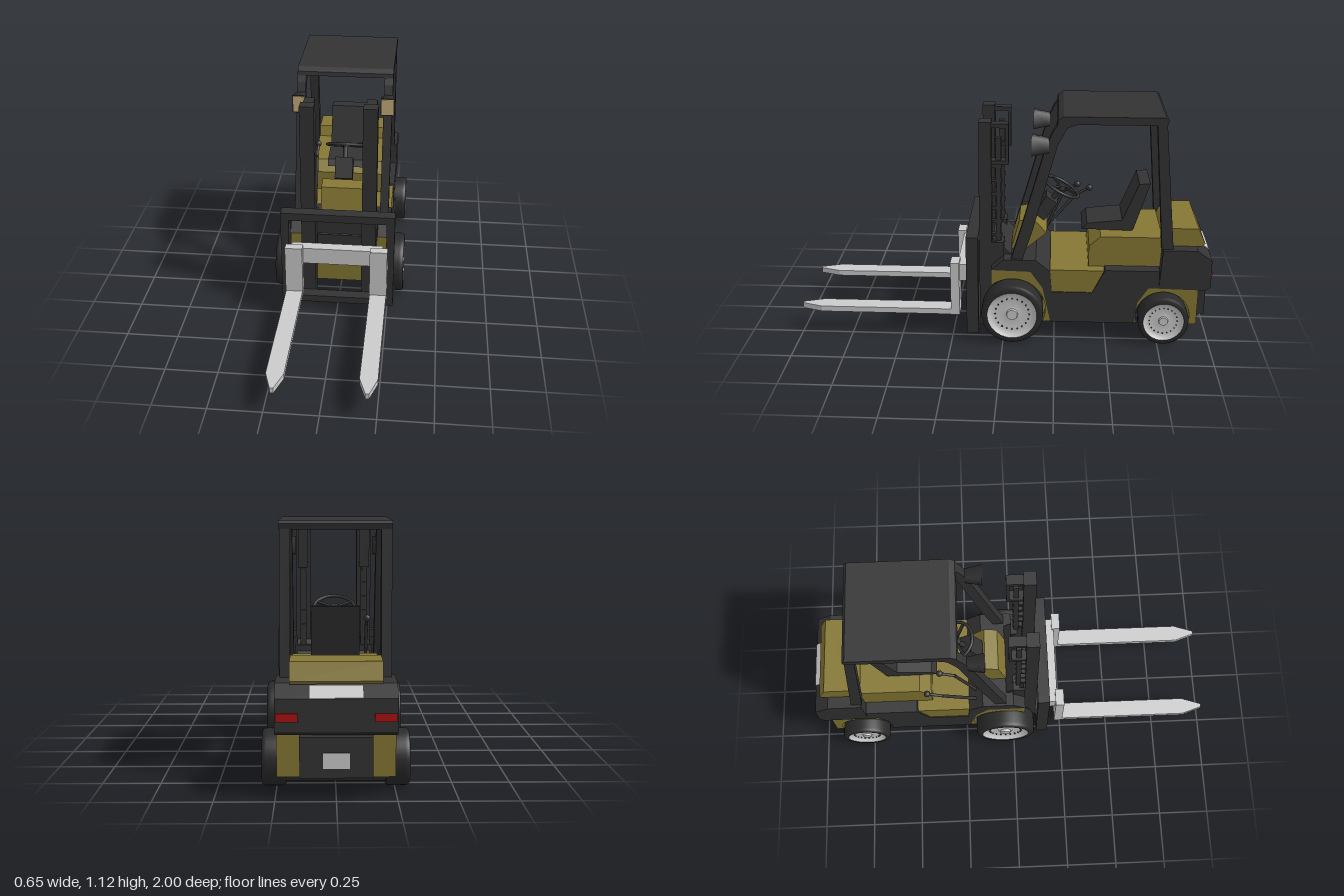
import * as THREE from 'three';

const mat = (color) => new THREE.MeshStandardMaterial({ color, side: THREE.DoubleSide });
const black = mat(0x333333), gold = mat(0x857733), grey = mat(0xcccccc);
const rubber = mat(0x2a2a2a), red = mat(0xaa1111), cream = mat(0xc8ae7c);

export function createModel() {
  const model = new THREE.Group();
  const add = (name, geometry, material, parent = model) => {
    const mesh = new THREE.Mesh(geometry, material);
    mesh.name = name;
    parent.add(mesh);
    return mesh;
  };
  // box from its limits on each axis
  const box = (name, m, x0, x1, y0, y1, z0, z1) =>
    add(name, new THREE.BoxGeometry(x1 - x0, y1 - y0, z1 - z0)
      .translate((x0 + x1) / 2, (y0 + y1) / 2, (z0 + z1) / 2), m);
  // the same box on the left and right, given for the left
  const boxPair = (name, m, x0, x1, ...yz) => {
    box(name + 'Left', m, x0, x1, ...yz);
    box(name + 'Right', m, -x1, -x0, ...yz);
  };
  // side profile of [z, y] points, extruded from x0 to x1; arch = [z, y, r, from, to]
  const side = (name, m, x0, x1, points, arch) => {
    const shape = new THREE.Shape(points.map(([z, y]) => new THREE.Vector2(z, y)));
    if (arch) shape.absarc(...arch, true);
    const g = new THREE.ExtrudeGeometry(shape, { depth: x1 - x0, bevelEnabled: false, curveSegments: 24 });
    return add(name, g.rotateY(-Math.PI / 2).translate(x1, 0, 0), m);
  };
  const sidePair = (name, m, x0, x1, points, arch) => {
    side(name + 'Left', m, x0, x1, points, arch);
    side(name + 'Right', m, -x1, -x0, points, arch);
  };
  // straight rod between two points
  const rod = (name, m, a, b, r) => {
    const p = new THREE.Vector3(...a), q = new THREE.Vector3(...b);
    const mesh = add(name, new THREE.CylinderGeometry(r, r, p.distanceTo(q), 12), m);
    mesh.position.copy(p).lerp(q, 0.5);
    mesh.quaternion.setFromUnitVectors(new THREE.Vector3(0, 1, 0), q.sub(p).normalize());
  };

  // chassis and step
  side('chassis', black, -0.25, 0.25, [[-0.23, 0.09], [-0.23, 0.25], [-0.43, 0.25], [-0.49, 0.37],
    [-0.75, 0.37], [-0.75, 0.28], [-0.7, 0.28], [-0.65, 0.2], [-0.64, 0.09]]);
  side('step', gold, -0.245, 0.245, [[-0.225, 0.25], [-0.225, 0.365], [-0.485, 0.365], [-0.43, 0.25]]);

  // front fenders around the wheel arches
  const archEnd = Math.atan2(0.121, 0.105);
  sidePair('frontArch', gold, 0.12, 0.248, [[0.06, 0.276], [0.06, 0.36], [-0.13, 0.355], [-0.19, 0.27],
    [-0.23, 0.09], [-0.191, 0.09]], [-0.045, 0.155, 0.16, Math.PI + 0.42, archEnd]);
  side('frontFender', black, -0.25, 0.25, [[0.06, 0.36], [0, 0.415], [-0.155, 0.415], [-0.225, 0.36],
    [-0.235, 0.25], [-0.235, 0.09], [-0.23, 0.09], [-0.19, 0.27], [-0.13, 0.355]]);
  box('frontPanel', gold, -0.19, 0.19, 0.09, 0.25, -0.01, 0.055);
  box('frontFloor', gold, -0.19, 0.19, 0.09, 0.36, -0.23, -0.19);
  box('frontBulkhead', black, -0.2, 0.2, 0.25, 0.365, -0.01, 0.05);
  side('cowl', black, -0.18, 0.18, [[0.055, 0.36], [0.055, 0.5], [0.0, 0.45], [-0.04, 0.41]]);

  // rear body
  side('rearArch', gold, -0.245, 0.245, [[-0.64, 0.09], [-0.65, 0.2], [-0.7, 0.28], [-0.94, 0.28],
    [-0.94, 0.09], [-0.899, 0.09]], [-0.775, 0.13, 0.13, Math.PI + 0.31, -0.31]);
  side('counterweight', black, -0.25, 0.25, [[-0.75, 0.28], [-0.76, 0.48], [-0.925, 0.48],
    [-0.995, 0.43], [-0.995, 0.29], [-0.97, 0.275]]);
  side('rearHood', gold, -0.19, 0.19, [[-0.755, 0.48], [-0.79, 0.57], [-0.93, 0.57], [-0.965, 0.495], [-0.95, 0.48]]);
  side('seatBase', gold, -0.19, 0.19, [[-0.41, 0.365], [-0.41, 0.47], [-0.465, 0.52], [-0.76, 0.52], [-0.76, 0.365]]);
  box('rearPlate', black, -0.15, 0.15, 0.1, 0.27, -0.99, -0.93);
  box('numberPlate', grey, -0.055, 0.055, 0.14, 0.205, -0.994, -0.98);
  side('rearTrim', grey, -0.11, 0.11, [[-0.94, 0.46], [-0.94, 0.474], [-0.998, 0.433], [-0.985, 0.425]]);
  boxPair('tailLight', red, 0.155, 0.245, 0.335, 0.37, -1, -0.98);

  // wheels: lathed tyre, dished rim, hub and a ring of bolts
  const wheel = (name, x, y, z, r, width, sign) => {
    const g = new THREE.Group();
    g.name = name;
    const h = width / 2, rim = r * 0.8;
    const lathe = (pts, seg) => new THREE.LatheGeometry(pts.map((p) => new THREE.Vector2(...p)), seg).rotateZ(-Math.PI / 2);
    add('tyre', lathe([[rim, -h], [r * 0.94, -h], [r * 0.985, -h * 0.85], [r, -h * 0.6], [r, h * 0.6],
      [r * 0.985, h * 0.85], [r * 0.94, h], [rim, h]], 40), rubber, g);
    add('rim', lathe([[rim, -h], [0, -h * 0.9], [0, h * 0.7], [r * 0.24, h * 0.7], [r * 0.26, h * 0.6],
      [r * 0.6, h * 0.65], [r * 0.72, h * 0.8], [rim, h]], 40), grey, g);
    add('hub', new THREE.CylinderGeometry(r * 0.17, r * 0.2, h * 0.3, 20).rotateZ(-Math.PI / 2)
      .translate(h * 0.75, 0, 0), grey, g);
    for (let i = 0; i < 20; i++) {
      const a = (i / 20) * Math.PI * 2;
      add('bolt', new THREE.CylinderGeometry(r * 0.025, r * 0.025, h * 0.12, 6).rotateZ(Math.PI / 2)
        .translate(h * 0.69, Math.cos(a) * r * 0.55, Math.sin(a) * r * 0.55), black, g);
    }
    g.position.set(x * sign, y, z);
    if (sign < 0) g.rotation.y = Math.PI;
    model.add(g);
  };
  for (const [s, label] of [[1, 'Left'], [-1, 'Right']]) {
    wheel('frontWheel' + label, 0.268, 0.155, -0.045, 0.15, 0.115, s);
    wheel('rearWheel' + label, 0.26, 0.13, -0.775, 0.122, 0.1, s);
  }
  rod('frontAxle', black, [-0.22, 0.155, -0.095], [0.22, 0.155, -0.095], 0.09);
  rod('rearAxle', black, [-0.22, 0.13, -0.775], [0.22, 0.13, -0.775], 0.105);

  // mast rails with head brackets and lift chains
  boxPair('mastRail', black, 0.115, 0.185, 0.03, 1.08, 0.06, 0.12);
  boxPair('bracketTop', black, 0.125, 0.175, 1.05, 1.07, -0.02, 0.06);
  boxPair('bracketBottom', black, 0.125, 0.175, 0.87, 0.89, -0.02, 0.06);
  boxPair('bracketBack', black, 0.125, 0.175, 0.87, 1.07, -0.02, -0.005);
  boxPair('liftPiston', black, 0.135, 0.165, 0.4, 1.0, 0.015, 0.04);
  for (let i = 0; i < 6; i++) {
    const y = 0.5 + i * 0.07;
    boxPair('mastRung', black, 0.14, 0.16, y, y + 0.015, 0.01, 0.062);
  }
  box('mastCrossbar', black, -0.165, 0.165, 0.24, 0.27, 0.055, 0.1);
  boxPair('mastMount', black, 0.11, 0.19, 0.25, 0.48, 0.0, 0.06);

  // carriage frame and forks
  boxPair('carriagePost', black, 0.24, 0.28, 0.03, 0.54, 0.12, 0.178);
  box('carriageTop', black, -0.24, 0.24, 0.5, 0.54, 0.12, 0.178);
  box('carriageBottom', black, -0.24, 0.24, 0.03, 0.066, 0.12, 0.178);
  box('forkBar', grey, -0.225, 0.225, 0.29, 0.375, 0.17, 0.225);
  boxPair('forkShank', grey, 0.165, 0.25, 0.115, 0.39, 0.215, 0.258);
  for (const s of [1, -1]) {
    const outline = [[-0.041, 0.25], [0.041, 0.25], [0.041, 0.9], [0.008, 1], [-0.008, 1], [-0.041, 0.9]];
    const shape = new THREE.Shape(outline.map(([x, z]) => new THREE.Vector2(x, z)));
    add(s > 0 ? 'forkLeft' : 'forkRight', new THREE.ExtrudeGeometry(shape, { depth: 0.028, bevelEnabled: false })
      .rotateX(Math.PI / 2).translate(s * 0.2075, 0.144, 0), grey);
  }

  // overhead guard
  sidePair('frontPillar', black, 0.195, 0.238, [[-0.035, 0.41], [-0.085, 0.58], [-0.195, 0.98], [-0.23, 1.06],
    [-0.27, 1.12], [-0.34, 1.12], [-0.34, 1.09], [-0.295, 1.075], [-0.25, 0.99], [-0.14, 0.57], [-0.09, 0.41]]);
  sidePair('rearPillar', black, 0.19, 0.235, [[-0.7, 1.1], [-0.745, 1.1], [-0.81, 0.475], [-0.755, 0.475]]);
  side('roof', black, -0.238, 0.238, [[-0.245, 1.09], [-0.25, 1.11], [-0.275, 1.127], [-0.74, 1.127],
    [-0.752, 1.115], [-0.745, 1.09]]);

  // headlights
  for (const s of [1, -1]) {
    const g = new THREE.Group();
    g.name = s > 0 ? 'headlightLeft' : 'headlightRight';
    add('housing', new THREE.CylinderGeometry(0.045, 0.03, 0.08, 4, 1).rotateY(Math.PI / 4)
      .scale(1.41, 1, 1.41).rotateX(Math.PI / 2).translate(0, 0, -0.04), black, g);
    add('lens', new THREE.BoxGeometry(0.058, 0.08, 0.004), cream, g);
    g.scale.x = 0.98;
    g.position.set(s * 0.217, 0.985, -0.13);
    g.scale.set(0.75, 1, 1);
    g.getObjectByName('lens').scale.x = 1.35;
    model.add(g);
  }

  // dashboard, steering and levers
  side('dashboard', gold, -0.105, 0.105, [[-0.03, 0.41], [-0.07, 0.56], [-0.135, 0.575], [-0.205, 0.5], [-0.1, 0.41]]);
  side('steeringConsole', black, -0.045, 0.045, [[-0.2, 0.67], [-0.255, 0.63], [-0.19, 0.54], [-0.145, 0.575]]);
  rod('steeringColumn', black, [0, 0.61, -0.21], [0, 0.7, -0.27], 0.012);
  const steering = new THREE.Group();
  steering.name = 'steeringWheel';
  add('steeringRim', new THREE.TorusGeometry(0.095, 0.008, 10, 36).rotateX(Math.PI / 2), black, steering);
  add('steeringHub', new THREE.CylinderGeometry(0.02, 0.025, 0.02, 16), black, steering);
  for (let i = 0; i < 3; i++) {
    add('spoke', new THREE.BoxGeometry(0.095, 0.008, 0.014).translate(0.0475, 0, 0)
      .rotateY(Math.PI / 2 + (i * Math.PI * 2) / 3), black, steering);
  }
  steering.position.set(0, 0.704, -0.273);
  steering.rotation.x = -0.49;
  model.add(steering);
  for (const [x, y, z, x0] of [[-0.15, 0.665, -0.355, -0.15], [-0.235, 0.615, -0.42, -0.2]]) {
    rod('lever', black, [x0, 0.4, -0.19], [x, y - 0.04, z + 0.07], 0.008);
    rod('leverTop', black, [x, y - 0.04, z + 0.07], [x, y, z], 0.007);
    add('leverKnob', new THREE.SphereGeometry(0.016, 16, 12).translate(x, y, z), black);
  }

  // seat
  side('seatCushion', black, -0.105, 0.105, [[-0.375, 0.525], [-0.4, 0.555], [-0.58, 0.575], [-0.62, 0.52]]);
  side('seatBack', black, -0.105, 0.105, [[-0.55, 0.525], [-0.645, 0.76], [-0.698, 0.763], [-0.625, 0.525]]);

  return model;
}
